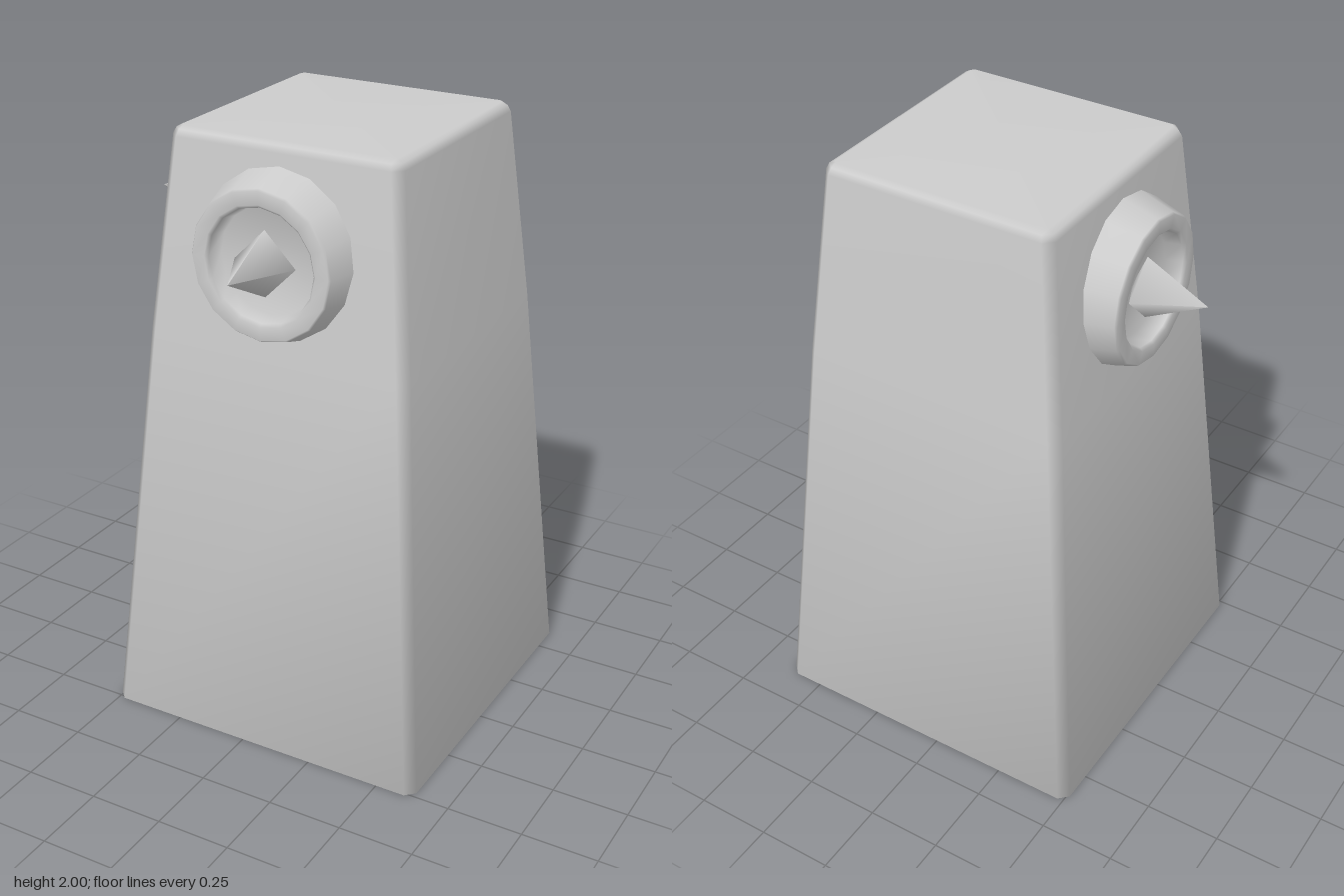
import * as THREE from 'three';

const material = new THREE.MeshStandardMaterial({ color: 0xcccccc });

// Lathe profile [radius, z] turned so that its axis points to +z
function turned(name, profile, sides) {
  const points = profile.map(([r, z]) => new THREE.Vector2(r, z));
  const geometry = new THREE.LatheGeometry(points, sides);
  geometry.rotateX(Math.PI / 2);
  const mesh = new THREE.Mesh(geometry, material);
  mesh.name = name;
  return mesh;
}

// Tapered square tower with chamfered corners, lofted through horizontal rings
function createBody() {
  // [height, half width, corner chamfer]
  const rings = [
    [0, 0.57, 0.03],
    [1.35, 0.457, 0.033],
    [1.97, 0.393, 0.03],
    [1.99, 0.383, 0.025],
    [2, 0.365, 0.01],
  ];
  const positions = [];
  const index = [];
  for (const [y, h, c] of rings) {
    for (let k = 0; k < 4; k++) {
      const a = (k * Math.PI) / 2;
      for (const [u, v] of [[h, h - c], [h - c, h]]) {
        positions.push(
          u * Math.cos(a) - v * Math.sin(a), y,
          -(u * Math.sin(a) + v * Math.cos(a)));
      }
    }
  }
  const n = 8;
  const last = (rings.length - 1) * n;
  const bottom = rings.length * n;
  const top = bottom + 1;
  positions.push(0, 0, 0, 0, 2, 0);
  for (let i = 0; i < n; i++) {
    const j = (i + 1) % n;
    for (let r = 0; r < last; r += n) {
      index.push(r + i, r + j, r + n + j, r + i, r + n + j, r + n + i);
    }
    index.push(top, last + i, last + j, bottom, j, i);
  }
  const geometry = new THREE.BufferGeometry();
  geometry.setAttribute('position', new THREE.Float32BufferAttribute(positions, 3));
  geometry.setIndex(index);
  geometry.computeVertexNormals();
  const mesh = new THREE.Mesh(geometry, material);
  mesh.name = 'towerBody';
  return mesh;
}

// Round raised socket with a recess and a four-sided spike inside
function createSocket(name) {
  const socket = new THREE.Group();
  socket.name = name;
  socket.add(
    turned('socketRim', [
      [0.275, 0.39], [0.262, 0.43], [0.238, 0.512], [0.232, 0.52],
      [0.19, 0.52], [0.18, 0.51], [0.17, 0.455], [0, 0.45],
    ], 16),
    turned('spike', [[0, 0.44], [0.105, 0.485], [0, 0.69]], 4));
  socket.position.y = 1.66;
  return socket;
}

export function createModel() {
  const model = new THREE.Group();
  model.name = 'spikedTower';
  const front = createSocket('frontSocket');
  const right = createSocket('rightSocket');
  right.rotation.y = -Math.PI / 2;
  model.add(createBody(), front, right);

  // Tower axis is offset so the whole model, spikes included, is centred
  for (const part of model.children) {
    part.position.x += 0.06;
    part.position.z -= 0.06;
  }
  return model;
}
